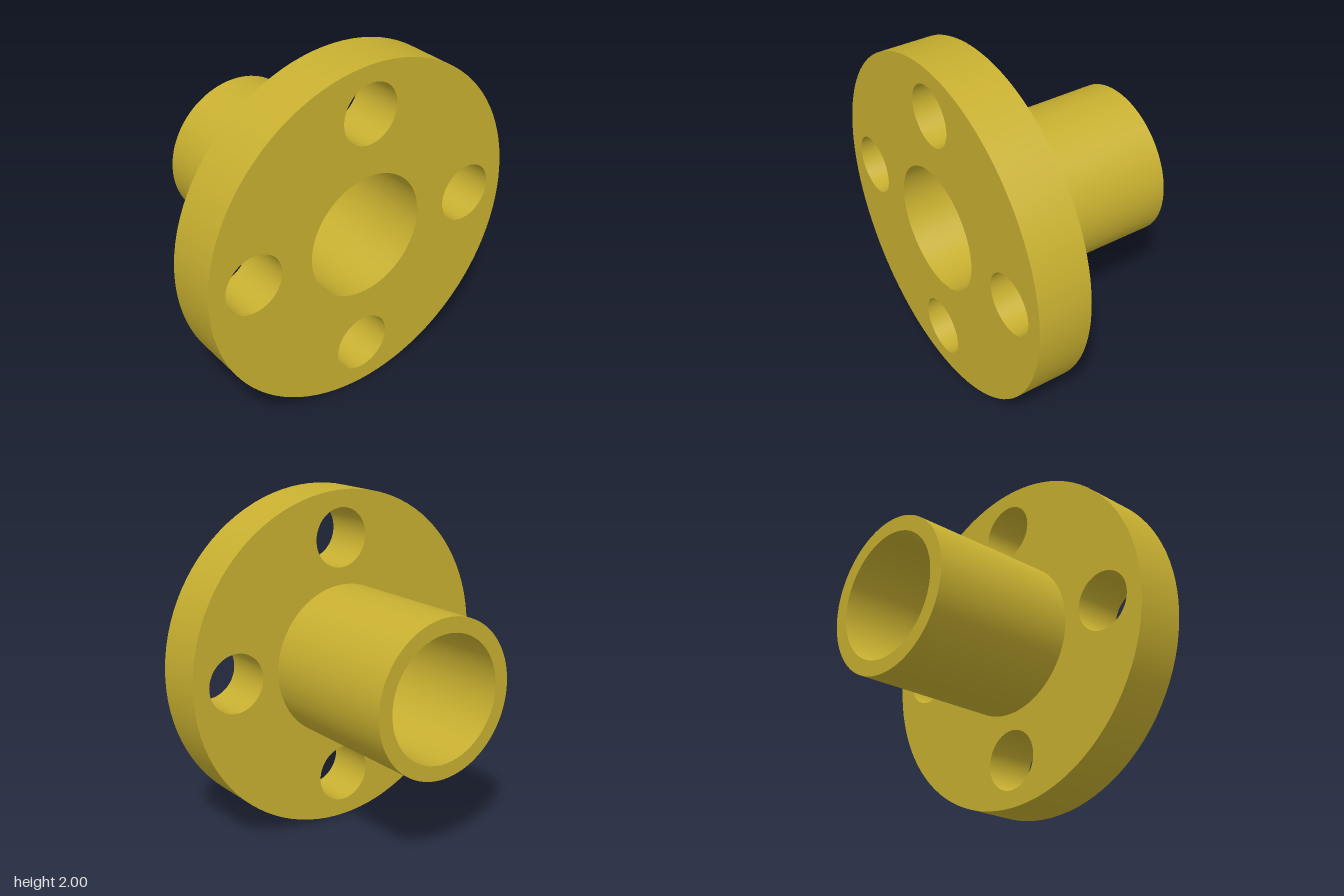
import * as THREE from 'three';
import { toCreasedNormals } from 'three/addons/utils/BufferGeometryUtils.js';

const FRONT = 0.61, STEP = 0.3, BACK = -0.61;
const BORE = 0.365, HUB = 0.453;
const BOLT_RADIUS = 0.173, BOLT_CIRCLE = 0.727;

function circle(Type, x, y, r) {
  const path = new Type();
  path.absarc(x, y, r, 0, Math.PI * 2, false);
  return path;
}

export function createModel() {
  const group = new THREE.Group();
  group.name = 'flangedBushing';
  const brass = new THREE.MeshStandardMaterial({ color: 0xc8b030 });
  brass.name = 'brass yellow';

  // Round flange with centre bore and four bolt holes
  const disc = circle(THREE.Shape, 0, 0, 1);
  disc.holes.push(circle(THREE.Path, 0, 0, BORE));
  for (let i = 0; i < 4; i++) {
    const a = (i * Math.PI) / 2;
    disc.holes.push(circle(THREE.Path, Math.cos(a) * BOLT_CIRCLE, Math.sin(a) * BOLT_CIRCLE, BOLT_RADIUS));
  }
  const flangeGeometry = new THREE.ExtrudeGeometry(disc, {
    depth: FRONT - STEP, bevelEnabled: false, curveSegments: 48,
  });
  flangeGeometry.translate(0, 0, STEP);
  const flange = new THREE.Mesh(toCreasedNormals(flangeGeometry, 0.5), brass);
  flange.name = 'flange';

  // Hollow hub behind the flange: bore wall, rear rim, outer wall
  const profile = [[BORE, STEP], [BORE, BACK], [HUB, BACK], [HUB, STEP]]
    .map(([r, z]) => new THREE.Vector2(r, z));
  const hubGeometry = new THREE.LatheGeometry(profile, 96);
  hubGeometry.rotateX(Math.PI / 2);
  const hub = new THREE.Mesh(toCreasedNormals(hubGeometry, 0.5), brass);
  hub.name = 'hubTube';

  flange.position.y = hub.position.y = 1;
  group.add(flange, hub);
  return group;
}
